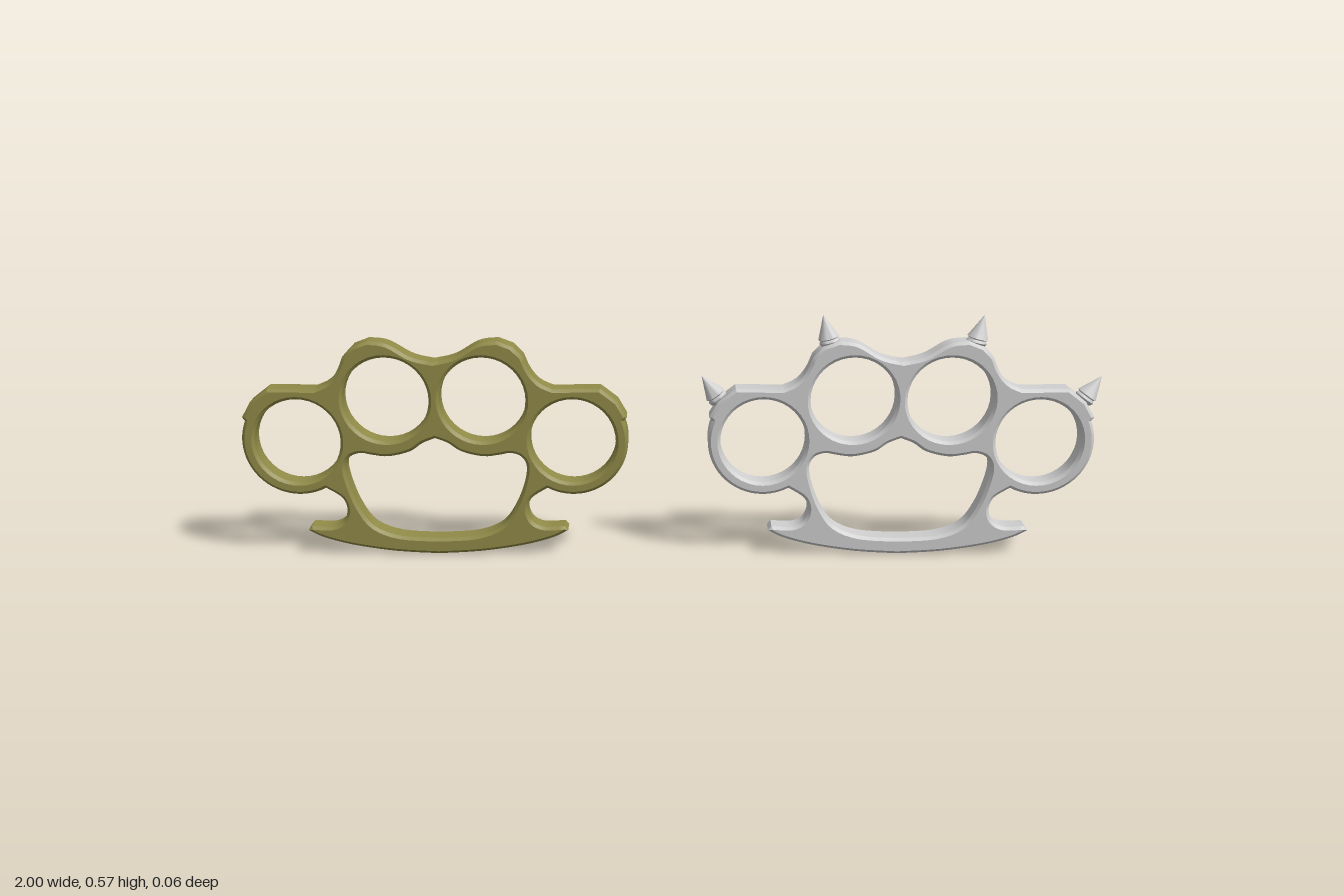
import * as THREE from 'three';
import { toCreasedNormals } from 'three/addons/utils/BufferGeometryUtils.js';

const gold = new THREE.MeshStandardMaterial({ color: 0x918b48 });
gold.name = 'olive brass';
const silver = new THREE.MeshStandardMaterial({ color: 0xcfcfcf });
silver.name = 'pale steel';

const HALF_DEPTH = 0.03;
const BEVEL = 0.007;

// Smooth curve through a few points
const spline = (pts, n) =>
  new THREE.SplineCurve(pts.map(([x, y]) => new THREE.Vector2(x, y))).getPoints(n);

// Arc of points around a centre, angles in degrees
function arc(cx, cy, r, from, to, n) {
  return Array.from({ length: n + 1 }, (_, i) => {
    const a = THREE.MathUtils.degToRad(from + ((to - from) * i) / n);
    return new THREE.Vector2(cx + r * Math.cos(a), cy + r * Math.sin(a));
  });
}

// Close a half outline (running from x = 0 to x = 0) with its mirror image
function mirrored(half) {
  const other = half.slice(1, -1).reverse().map((p) => new THREE.Vector2(-p.x, p.y));
  return [...half, ...other];
}

function frameGeometry() {
  const v = (x, y) => new THREE.Vector2(x, y);
  const outline = mirrored([
    // Underside of the palm bar, out to the pointed tip
    ...spline([[0, 0.002], [0.1, 0.008], [0.2, 0.023], [0.27, 0.042], [0.306, 0.06]], 16),
    // Notch between the tip and the outer ring
    ...spline([[0.298, 0.07], [0.25, 0.068], [0.222, 0.082], [0.212, 0.11], [0.22, 0.137], [0.24, 0.153]], 16),
    // Outer ring and its faceted shoulder
    ...arc(0.32, 0.278, 0.129, -118, 22, 24),
    v(0.446, 0.335), v(0.425, 0.372), v(0.385, 0.403),
    // Step up to the inner ring
    ...spline([[0.275, 0.402], [0.245, 0.416], [0.222, 0.443], [0.207, 0.478]], 8),
    // Crown and centre dip
    v(0.184, 0.502),
    ...spline([[0.15, 0.515], [0.105, 0.509], [0.05, 0.478], [0, 0.466]], 14),
  ]);

  const palmHole = mirrored(spline([
    [0, 0.04], [0.09, 0.046], [0.15, 0.07], [0.183, 0.115], [0.204, 0.17], [0.212, 0.215],
    [0.2, 0.24], [0.175, 0.249], [0.15, 0.245], [0.11, 0.241], [0.06, 0.253], [0.03, 0.273], [0, 0.285],
  ], 48));

  const shape = new THREE.Shape(outline);
  shape.holes.push(new THREE.Path(palmHole));
  for (const side of [-1, 1]) {
    for (const [x, y] of [[0.32, 0.278], [0.112, 0.377]]) {
      shape.holes.push(new THREE.Path(arc(side * x, y, 0.1, 0, 360, 40).slice(0, -1)));
    }
  }

  const geo = new THREE.ExtrudeGeometry(shape, {
    depth: 2 * (HALF_DEPTH - BEVEL),
    bevelEnabled: true,
    bevelThickness: BEVEL,
    bevelSize: BEVEL,
    bevelOffset: -BEVEL,
    bevelSegments: 1,
  });
  geo.translate(0, 0, -(HALF_DEPTH - BEVEL));
  return toCreasedNormals(geo, 0.45);
}

// Stud with a rounded collar and a sharp cone
function spikeGeometry() {
  const profile = [
    [0, -0.021], [0.014, -0.019], [0.021, -0.013], [0.024, -0.006],
    [0.02, 0], [0.0245, 0.003], [0, 0.058],
  ].map(([r, y]) => new THREE.Vector2(r, y));
  return toCreasedNormals(new THREE.LatheGeometry(profile, 24), 0.6);
}

export function createModel() {
  const model = new THREE.Group();
  model.name = 'knuckleGuardPair';
  const frame = frameGeometry();

  // Plain guard
  const plain = new THREE.Mesh(frame, gold);
  plain.name = 'plainGuard';
  plain.position.x = -0.551;
  model.add(plain);

  // Spiked guard
  const spiked = new THREE.Group();
  spiked.name = 'spikedGuard';
  spiked.position.x = 0.532;
  const body = new THREE.Mesh(frame, silver);
  body.name = 'spikedGuardFrame';
  spiked.add(body);

  const spike = spikeGeometry();
  for (const side of [-1, 1]) {
    for (const [x, y, tilt, name] of [[0.171, 0.516, 0.25, 'innerSpike'], [0.43, 0.381, 0.62, 'outerSpike']]) {
      const mesh = new THREE.Mesh(spike, silver);
      mesh.name = name;
      mesh.position.set(side * x, y, 0);
      mesh.rotation.z = -side * tilt;
      spiked.add(mesh);
    }
  }
  model.add(spiked);
  return model;
}
